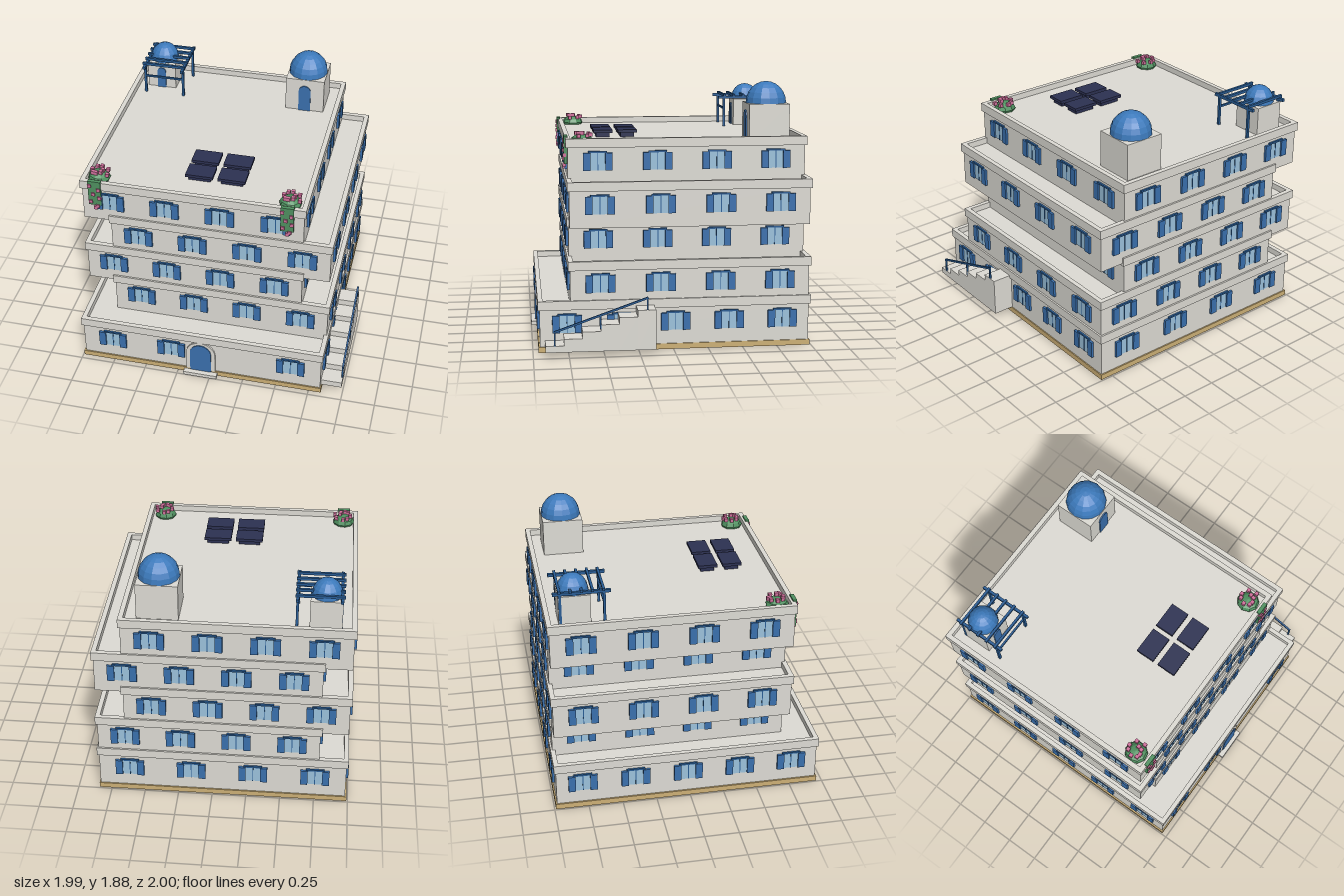
import * as THREE from 'three';

const mat = (name, color, side = THREE.FrontSide) => {
  const m = new THREE.MeshStandardMaterial({ color, side });
  m.name = name;
  return m;
};

export function createModel() {
  const M = {
    wall: mat('whitewash', 0xdddbd4),
    base: mat('sandstone', 0xcdb076),
    blue: mat('shutterBlue', 0x3a70ae),
    dome: mat('domeBlue', 0x3c7abc),
    trim: mat('trimBlue', 0x285c94),
    glass: mat('windowGlass', 0x9cc2dc),
    panel: mat('solarNavy', 0x2c3152),
    leaf: mat('leafGreen', 0x4f9160),
    flower: mat('blossomPink', 0xd0709c),
  };
  M.dome.flatShading = M.leaf.flatShading = true;

  const model = new THREE.Group();
  model.name = 'terracedBuilding';

  const group = (name, parent = model) => {
    const g = new THREE.Group();
    g.name = name;
    parent.add(g);
    return g;
  };
  const add = (name, geo, material, parent = model) => {
    const m = new THREE.Mesh(geo, material);
    m.name = name;
    parent.add(m);
    return m;
  };
  // Box given by its extents on each axis
  const box = (name, material, x0, x1, y0, y1, z0, z1, parent = model) => {
    const m = add(name, new THREE.BoxGeometry(x1 - x0, y1 - y0, z1 - z0), material, parent);
    m.position.set((x0 + x1) / 2, (y0 + y1) / 2, (z0 + z1) / 2);
    return m;
  };
  const extrude = (shape, depth) =>
    new THREE.ExtrudeGeometry(shape, { depth, bevelEnabled: false, curveSegments: 10 });

  // Round-headed outline standing on y = 0
  const archShape = (w, h) => {
    const r = w / 2;
    const s = new THREE.Shape();
    s.moveTo(-r, 0);
    s.lineTo(r, 0);
    s.lineTo(r, h - r);
    s.absarc(0, h - r, r, 0, Math.PI, false);
    s.lineTo(-r, 0);
    return s;
  };
  const arch = (name, material, x, y, z, w, h, depth, parent = model) =>
    add(name, extrude(archShape(w, h), depth), material, parent).position.set(x, y, z);

  // Rim wall around a flat roof
  const parapet = (x0, x1, z0, z1, y0, y1, parent) => {
    const t = 0.035;
    const rect = (P, a, b, c, d) => {
      const p = new P();
      p.moveTo(a, c);
      p.lineTo(b, c);
      p.lineTo(b, d);
      p.lineTo(a, d);
      p.closePath();
      return p;
    };
    const s = rect(THREE.Shape, x0, x1, -z1, -z0);
    s.holes.push(rect(THREE.Path, x0 + t, x1 - t, -z1 + t, -z0 - t));
    const m = add('parapet', extrude(s, y1 - y0), M.wall, parent);
    m.rotation.x = -Math.PI / 2;
    m.position.y = y0;
  };

  // Shuttered window facing +z, bottom centre at its origin
  const makeWindow = () => {
    const g = new THREE.Group();
    g.name = 'window';
    box('glass', M.glass, -0.055, 0.055, 0, 0.125, -0.01, 0.006, g);
    box('mullion', M.trim, -0.003, 0.003, 0, 0.125, 0, 0.009, g);
    box('lintel', M.trim, -0.067, 0.067, 0.125, 0.138, -0.01, 0.014, g);
    for (const s of [-1, 1]) {
      box('shutter', M.blue, s * 0.079 - 0.026, s * 0.079 + 0.026, 0, 0.125, -0.005, 0.018, g);
    }
    return g;
  };
  const windowProto = makeWindow();

  // Storeys alternate sideways; the ground floor is deeper
  const back = -0.98;
  const storeys = [
    { x0: -0.98, x1: 0.835, z1: 0.95, y: 0.04, sides: 5 },
    { x0: -0.78, x1: 0.835, z1: 0.733, y: 0.325, sides: 4 },
    { x0: -0.98, x1: 0.635, z1: 0.733, y: 0.605, sides: 4 },
    { x0: -0.78, x1: 0.835, z1: 0.733, y: 0.885, sides: 4 },
    { x0: -0.98, x1: 0.635, z1: 0.733, y: 1.167, sides: 4 },
  ];
  const roofY = 1.45;
  box('plinth', M.base, -0.992, 0.843, 0, 0.04, -0.99, 0.96);
  storeys.forEach(({ x0, x1, z1, y, sides }, i) => {
    const g = group('storey' + (i + 1));
    const top = i < 4 ? storeys[i + 1].y : roofY;
    box('walls', M.wall, x0, x1, y, top, back, z1, g);
    const o = 0.013;
    parapet(x0 - o, x1 + o, back - o, z1 + o, top - 0.02, top + 0.045, g);
    const place = (x, z, angle) => {
      const w = windowProto.clone();
      w.position.set(x, y + 0.1, z);
      w.rotation.y = angle;
      g.add(w);
    };
    for (let k = 0; k < 4; k++) {
      const x = x0 + ((x1 - x0) * (k + 0.5)) / 4;
      if (i > 0 || k !== 2) place(x, z1, 0); // gap beside the front door
      place(x, back, Math.PI);
    }
    for (let k = 0; k < sides; k++) {
      const z = back + ((z1 - back) * (k + 0.5)) / sides;
      place(x1, z, Math.PI / 2);
      place(x0, z, -Math.PI / 2);
    }
  });

  // Front entrance
  const entrance = group('entrance');
  const surround = archShape(0.222, 0.265);
  surround.holes.push(archShape(0.16, 0.24));
  add('doorSurround', extrude(surround, 0.02), M.wall, entrance).position.set(-0.072, 0.04, 0.943);
  arch('frontDoor', M.blue, -0.072, 0.035, 0.94, 0.16, 0.25, 0.03, entrance);
  box('doorStep', M.wall, -0.2, 0.055, 0, 0.028, 0.94, 1, entrance);

  // Outside stair with handrail
  const stair = group('outsideStair');
  for (let i = 0; i < 6; i++) {
    const z1 = 0.914 - i * 0.129;
    box('step', M.wall, 0.83, 0.99, 0.04, 0.086 + i * 0.048, z1 - 0.129, z1, stair);
  }
  const rail = [[0.85, 0.185, 0.08], [0.53, 0.298, 0.2], [0.2, 0.412, 0.32]];
  for (const [z, top, bottom] of rail) {
    box('railPost', M.trim, 0.978, 0.99, bottom, top, z - 0.006, z + 0.006, stair);
  }
  const handrail = box('handrail', M.trim, 0.977, 0.991, -0.007, 0.007, -0.35, 0.35, stair);
  handrail.position.set(0.984, 0.299, 0.525);
  handrail.rotation.x = Math.atan2(0.227, 0.65);

  // Domed roof rooms
  const tower = (x, z, half, top, domeR, domeTop, doorW, doorTop) => {
    const g = group('domedRoom');
    box('roomWalls', M.wall, x - half, x + half, roofY - 0.01, top, z - half, z + half, g);
    const geo = new THREE.SphereGeometry(domeR, 14, 6, 0, Math.PI * 2, 0, Math.PI / 2);
    const d = add('dome', geo, M.dome, g);
    d.position.set(x, top, z);
    d.scale.y = (domeTop - top) / domeR;
    arch('roomDoor', M.blue, x, roofY, z + half - 0.005, doorW, doorTop - roofY, 0.014, g);
  };
  tower(0.385, -0.738, 0.148, 1.717, 0.148, 1.875, 0.092, 1.665);
  tower(-0.778, -0.79, 0.111, 1.66, 0.109, 1.78, 0.068, 1.622);

  // Pergola around the small room
  const pergola = group('pergola');
  for (const x of [-0.882, -0.58]) {
    for (const z of [-0.888, -0.585]) {
      box('pergolaPost', M.trim, x - 0.009, x + 0.009, roofY, 1.675, z - 0.009, z + 0.009, pergola);
    }
    box('pergolaBeam', M.trim, x - 0.01, x + 0.01, 1.67, 1.692, -0.938, -0.54, pergola);
  }
  for (let i = 0; i < 5; i++) {
    const z = -0.892 + i * 0.0755;
    box('pergolaSlat', M.trim, -0.903, -0.565, 1.688, 1.708, z - 0.009, z + 0.009, pergola);
  }
  box('pergolaRail', M.trim, -0.885, -0.575, 1.587, 1.601, -0.592, -0.578, pergola);

  // Solar panels on short stands
  const solar = group('solarPanels');
  for (const x of [-0.174, 0.064]) {
    for (const z of [0.265, 0.447]) {
      box('solarPanel', M.panel, x - 0.101, x + 0.101, 1.483, 1.505, z - 0.071, z + 0.071, solar);
      box('panelStand', M.panel, x - 0.08, x + 0.08, roofY, 1.485, z - 0.05, z + 0.05, solar);
    }
  }

  // Flowering shrubs trailing over the front parapet
  const bushGeo = new THREE.SphereGeometry(0.082, 9, 6);
  const trailing = [[-0.035, 1.47], [0.03, 1.44], [-0.01, 1.4], [0.035, 1.37], [-0.03, 1.335], [0.005, 1.285], [0.02, 1.3]];
  for (const x of [-0.882, 0.516]) {
    const g = group('floweringShrub');
    const bush = add('shrub', bushGeo, M.leaf, g);
    bush.position.set(x, 1.465, 0.625);
    bush.scale.y = 0.65;
    box('trailingLeaves', M.leaf, x - 0.047, x + 0.047, 1.305, 1.507, 0.728, 0.756, g);
    const blossom = (dx, y, z) =>
      box('blossom', M.flower, x + dx - 0.013, x + dx + 0.013, y - 0.013, y + 0.013, z - 0.013, z + 0.013, g);
    for (const [dx, y] of trailing) blossom(dx, y, 0.752);
    for (let i = 0; i < 9; i++) {
      const a = i * 2.4;
      const r = 0.03 + 0.045 * ((i * 0.37) % 1);
      blossom(r * Math.cos(a), 1.54 - r * 0.45, 0.625 + r * Math.sin(a));
    }
  }
  return model;
}
